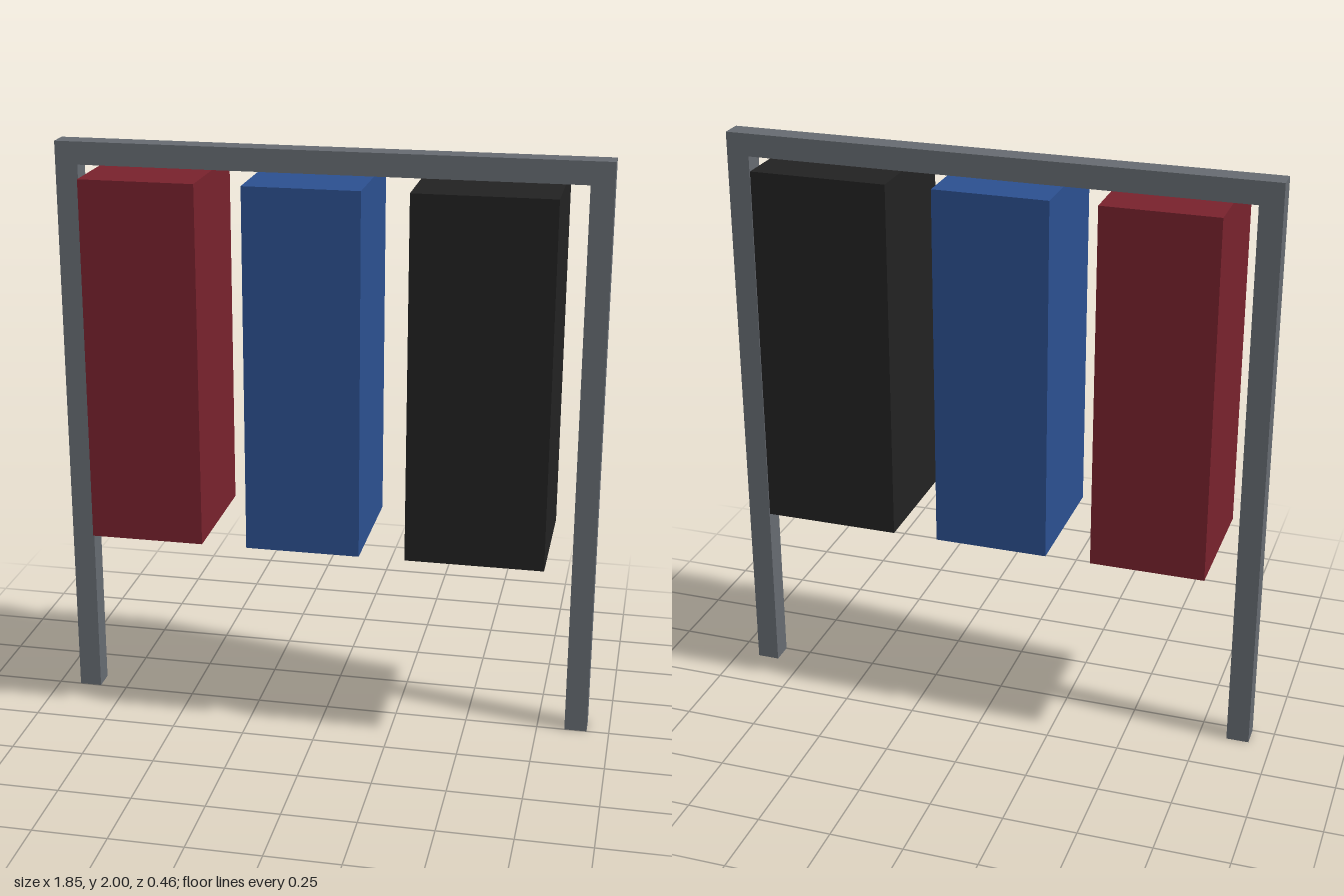
import * as THREE from 'three';

const U = 1 / 13; // grid unit: the frame is 26 units tall

function material(name, color) {
  const m = new THREE.MeshStandardMaterial({ color });
  m.name = name;
  return m;
}

// Box given by its opposite corners in grid units
function block(name, mat, [x0, y0, z0], [x1, y1, z1]) {
  const geometry = new THREE.BoxGeometry((x1 - x0) * U, (y1 - y0) * U, (z1 - z0) * U);
  const mesh = new THREE.Mesh(geometry, mat);
  mesh.position.set((x0 + x1) * U / 2, (y0 + y1) * U / 2, (z0 + z1) * U / 2);
  mesh.name = name;
  return mesh;
}

export function createModel() {
  const model = new THREE.Group();
  model.name = 'hangingBagRack';

  const steel = material('steel grey', 0x666b71);
  const red = material('dark red', 0x78222d);
  const blue = material('blue', 0x2c5090);
  const black = material('black', 0x222222);

  // Frame: two posts and a crossbar, set just behind the centre line
  const frame = new THREE.Group();
  frame.name = 'frame';
  frame.add(
    block('rightPost', steel, [-12, 0, -1], [-11, 25, 0]),
    block('leftPost', steel, [11, 0, -1], [12, 25, 0]),
    block('crossbar', steel, [-12, 25, -1], [12, 26, 0])
  );
  model.add(frame);

  // Three bags hanging under the crossbar
  const bags = [['redBag', red, -10, -5], ['blueBag', blue, -3, 2], ['blackBag', black, 4, 10]];
  for (const [name, mat, x0, x1] of bags) {
    model.add(block(name, mat, [x0, 9, -3], [x1, 25, 3]));
  }
  return model;
}
